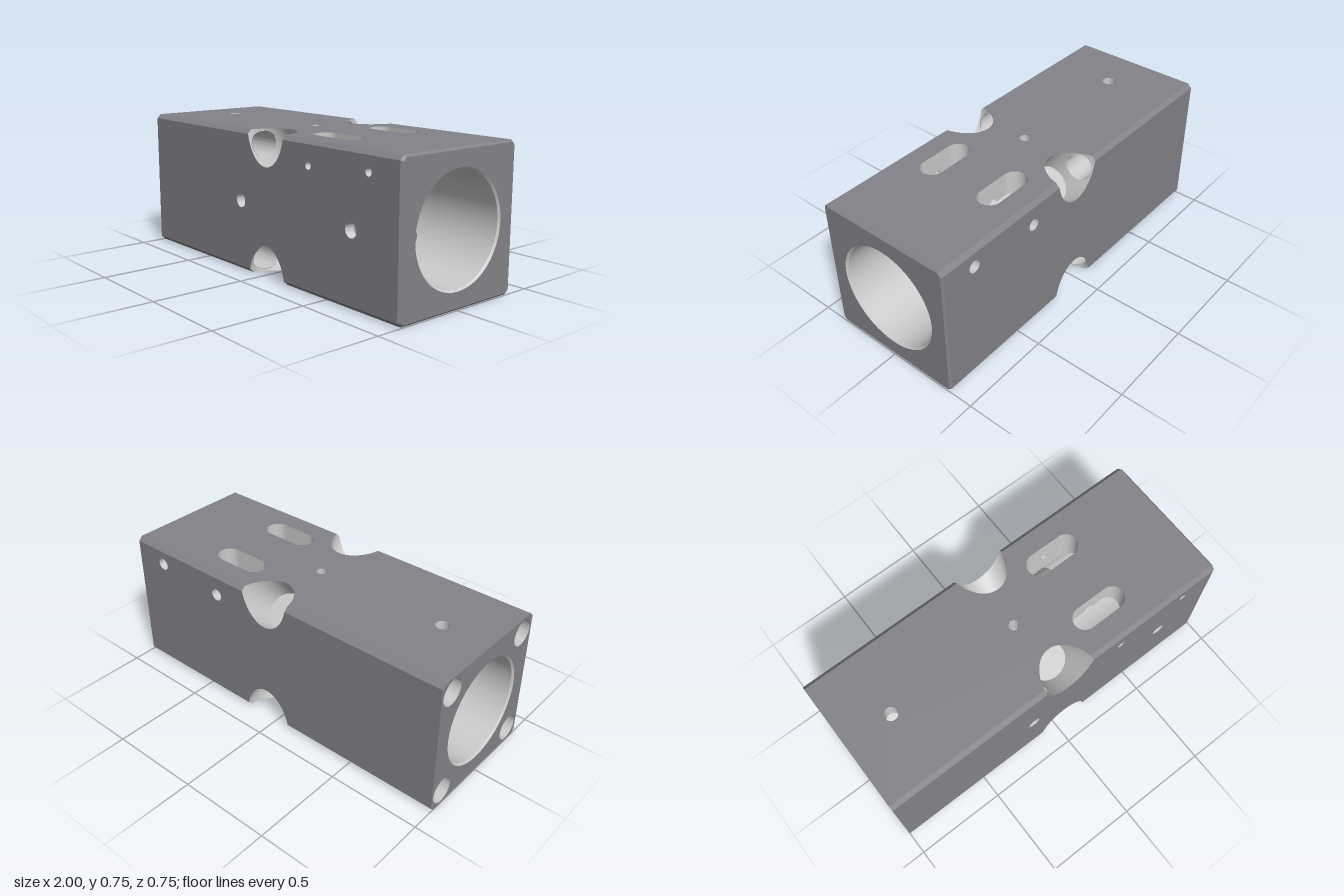
import * as THREE from 'three';
import { toCreasedNormals } from 'three/addons/utils/BufferGeometryUtils.js';

const CY = 0.39, H = 0.377, CH = 0.022, END = 0.99;     // axis height, half size, edge chamfer
const BORE = 0.277, NECK = 0.192, NECK0 = -0.08, NECK1 = 0.2;
const NX = 0.055, ND = 0.24;                            // corner pocket position and depth
const pocketR = s => 0.147 - 0.19 * s;                  // pocket radius at depth s
const exitDepth = k => Math.max(CH / Math.SQRT2, 0.147 * k / (1 + 0.19 * k));
const BOLT = 0.295, BR = 0.07, BS = (H - BOLT) * Math.SQRT2;

// Holes in the side faces. axis/side: face, v: offset across it, half: straight half length,
// r2/step: narrower inner part, floor: blind bottom
const holes = [];
for (const side of [1, -1]) {
  holes.push({ axis: 'y', side, x: -0.74, v: 0, r: 0.035 });
  holes.push({ axis: 'y', side, x: 0, v: 0, r: 0.027, floor: 0.25 });
  for (const v of [0.185, -0.185])
    holes.push({ axis: 'y', side, x: 0.39, v, r: 0.0625, half: 0.09, crossed: side > 0 });
  const back = side < 0 ? { r: 0.033, r2: 0.02, step: 0.32 } : { r: 0.02 };
  holes.push({ axis: 'z', side, x: 0.39, v: 0.255, min: 0.2475, ...back });
  holes.push({ axis: 'z', side, x: 0.8, v: 0.28, ...back });
}
for (const x of [-0.16, 0.69])
  holes.push({ axis: 'z', side: 1, x, v: 0, r: 0.037, r2: 0.017, step: 0.325 });

const outer = new THREE.MeshStandardMaterial({ color: 0x838389, side: THREE.DoubleSide });
const inner = new THREE.MeshStandardMaterial({ color: 0xcccccc, side: THREE.DoubleSide });

// Point on a side face: x along, v across, w outward from the axis
const onFace = (axis, side) => (x, v, w) =>
  axis === 'y' ? [x, CY + side * w, v] : [x, CY + v, side * w];

// Joins the matching segments of neighbouring rows with quads
function loft(n, row) {
  const pos = [];
  let a = row(0);
  for (let i = 1; i <= n; i++) {
    const b = row(i);
    a.forEach(([p, q], k) => {
      const [r, s] = b[k];
      pos.push(...p, ...q, ...s, ...p, ...s, ...r);
    });
    a = b;
  }
  const g = new THREE.BufferGeometry();
  g.setAttribute('position', new THREE.Float32BufferAttribute(pos, 3));
  return toCreasedNormals(g, 0.5);
}

// Flat face with holes, moved into place by a mapping of (u, v)
function plate(outline, cuts, map) {
  const shape = new THREE.Shape(outline.map(p => new THREE.Vector2(...p)));
  for (const c of cuts) shape.holes.push(new THREE.Path(c.map(p => new THREE.Vector2(...p))));
  const g = new THREE.ShapeGeometry(shape), p = g.attributes.position;
  for (let i = 0; i < p.count; i++) p.setXYZ(i, ...map(p.getX(i), p.getY(i)));
  g.computeVertexNormals();
  return g;
}

// Closed circle or slot outline
function ring(x, v, r, half = 0) {
  const pts = [], m = half ? 40 : 0;
  for (const s of [1, -1]) {
    for (let i = 0; i <= 24; i++) {
      const a = (i / 24 - 0.5) * Math.PI;
      pts.push([x + s * (half + r * Math.cos(a)), v + s * r * Math.sin(a)]);
    }
    for (let i = 1; i < m; i++) pts.push([x + s * half * (1 - 2 * i / m), v + s * r]);
  }
  return pts;
}

const octagon = (h, c) => [[h, h - c], [h - c, h], [c - h, h], [-h, h - c],
  [-h, c - h], [c - h, -h], [h - c, -h], [h, c - h]];

// Edge of a corner pocket on a side face
function pocketEdge(sign) {
  const a0 = Math.asin(CH / Math.SQRT2 / pocketR(CH / Math.SQRT2)), pts = [];
  for (let i = 0; i <= 48; i++) {
    const a = a0 + (Math.PI - 2 * a0) * i / 48, s = exitDepth(Math.sin(a));
    pts.push([NX + sign * pocketR(s) * Math.cos(a), sign * (H - s * Math.SQRT2)]);
  }
  return pts;
}

// Inner wall of the bore between x0 and x1, open where the side holes enter
function boreWall(x0, x1) {
  const cuts = holes.filter(h => h.x > x0 && h.x < x1 && h.floor === undefined)
    .sort((a, b) => a.x - b.x || (b.half || 0) - (a.half || 0));
  return loft(720, i => {
    const a = i / 720 * Math.PI * 2, y = BORE * Math.sin(a), z = BORE * Math.cos(a);
    const row = [];
    let cur = x0;
    for (const h of cuts) {
      const [along, across] = h.axis === 'y' ? [y, z] : [z, y];
      const d = across - h.v, r = h.r2 || h.r;
      const w = along * h.side > 0 && Math.abs(d) < r ? (h.half || 0) + Math.sqrt(r * r - d * d) : 0;
      row.push([[cur, CY + y, z], [Math.max(cur, h.x - w), CY + y, z]]);
      cur = Math.max(cur, h.x + w);
    }
    row.push([[cur, CY + y, z], [x1, CY + y, z]]);
    return row;
  });
}

export function createModel() {
  const group = new THREE.Group();
  const add = (name, geometry, material) => {
    const mesh = new THREE.Mesh(geometry, material);
    mesh.name = name;
    group.add(mesh);
  };

  // Four long side faces
  const F = H - CH;
  const outline = [[-1, -F], ...pocketEdge(-1), [END, -F], [END, F], ...pocketEdge(1), [-1, F]];
  for (const axis of ['y', 'z']) for (const side of [1, -1]) {
    const cuts = holes.filter(h => h.axis === axis && h.side === side)
      .map(h => ring(h.x, h.v, h.r, h.half));
    const at = onFace(axis, side);
    add('sideFace', plate(outline, cuts, (x, v) => at(x, v, H)), outer);
  }

  // End faces and the bevel round the right end
  const small = octagon(H - 0.01, 0.016), big = octagon(H, CH);
  const bolts = [];
  for (const sy of [1, -1]) for (const sz of [1, -1]) bolts.push(ring(sz * BOLT, sy * BOLT, BR));
  add('endFace', plate(small, [ring(0, 0, 0.287)], (z, y) => [1, CY + y, z]), outer);
  add('boltEndFace', plate(big, [ring(0, 0, 0.287), ...bolts], (z, y) => [-1, CY + y, z]), outer);
  add('endBevel', loft(8, i => {
    const [z, y] = big[i % 8], [z2, y2] = small[i % 8];
    return [[[END, CY + y, z], [1, CY + y2, z2]]];
  }), outer);

  // Bore walls, mouth bevels and the narrow neck
  add('leftBore', boreWall(-0.99, NECK0), inner);
  add('rightBore', boreWall(NECK1, 0.99), inner);
  const turned = (name, profile) => add(name, loft(128, i => {
    const a = i / 128 * Math.PI * 2;
    const p = profile.map(([x, r]) => [x, CY + r * Math.sin(a), r * Math.cos(a)]);
    return p.slice(1).map((q, k) => [p[k], q]);
  }), inner);
  turned('boreMouth', [[-1, 0.287], [-0.99, BORE]]);
  turned('boreMouth', [[0.99, BORE], [1, 0.287]]);
  turned('boreNeck', [[NECK0, BORE], [NECK0, NECK + 0.004], [NECK0 + 0.004, NECK],
    [NECK1 - 0.004, NECK], [NECK1, NECK + 0.004], [NECK1, BORE]]);

  // Walls of the side holes and slots
  for (const h of holes) {
    const at = onFace(h.axis, h.side);
    const tube = (r, top, bottom) => {
      const pts = ring(h.x, h.v, r, h.half);
      return loft(pts.length, i => {
        const [x, v] = pts[i % pts.length];
        const low = bottom ?? Math.max(h.min || 0, Math.sqrt(Math.max(0, BORE * BORE - v * v)));
        // Slots are crossed by a small hole
        const g = h.crossed ? Math.sqrt(Math.max(0, 0.0004 - (x - h.x) ** 2)) : 0;
        const m0 = Math.max(low, 0.255 + g), m1 = Math.max(low, 0.255 - g);
        return [[at(x, v, top), at(x, v, m0)], [at(x, v, m1), at(x, v, low)]];
      });
    };
    const name = h.half ? 'slotWall' : 'holeWall';
    add(name, tube(h.r, H, h.step ?? h.floor), inner);
    if (h.r2) {
      add('holeStep', plate(ring(h.x, h.v, h.r), [ring(h.x, h.v, h.r2)], (x, v) => at(x, v, h.step)), inner);
      add(name, tube(h.r2, h.step), inner);
    }
    if (h.floor) add('holeFloor', plate(ring(h.x, h.v, h.r), [], (x, v) => at(x, v, h.floor)), inner);
  }

  // Corners: long bevels, tapered pockets and the bolt holes that run into them
  for (const sy of [1, -1]) for (const sz of [1, -1]) {
    const at = (x, s, t) => [x, CY + sy * (H - (s + t) / Math.SQRT2), sz * (H - (s - t) / Math.SQRT2)];
    const c = CH / Math.SQRT2, rc = pocketR(c);
    for (const [x0, x1] of [[-1, NX - rc], [NX + rc, END]])
      add('edgeBevel', loft(1, i => [[at(x0, c, i ? c : -c), at(x1, c, i ? c : -c)]]), outer);
    add('pocketWall', loft(192, i => {
      const a = i / 192 * Math.PI * 2, k = Math.sin(a), top = exitDepth(Math.abs(k));
      const p = s => at(NX + pocketR(s) * Math.cos(a), s, pocketR(s) * k);
      const w = Math.cos(a) < 0 ? Math.sqrt(Math.max(0, BR * BR - (pocketR(BS) * k) ** 2)) : 0;
      const mid = Math.max(top, BS);
      return [[p(top), p(Math.max(top, mid - w))], [p(mid + w), p(ND)]];
    }), inner);
    add('pocketFloor', plate(ring(NX, 0, pocketR(ND)), [], (x, t) => at(x, ND, t)), inner);
    add('boltHole', loft(64, i => {
      const a = i / 64 * Math.PI * 2, s = BS + BR * Math.cos(a), t = BR * Math.sin(a);
      return [[at(-1, s, t), at(NX - Math.sqrt(pocketR(s) ** 2 - t * t), s, t)]];
    }), inner);
  }
  return group;
}
